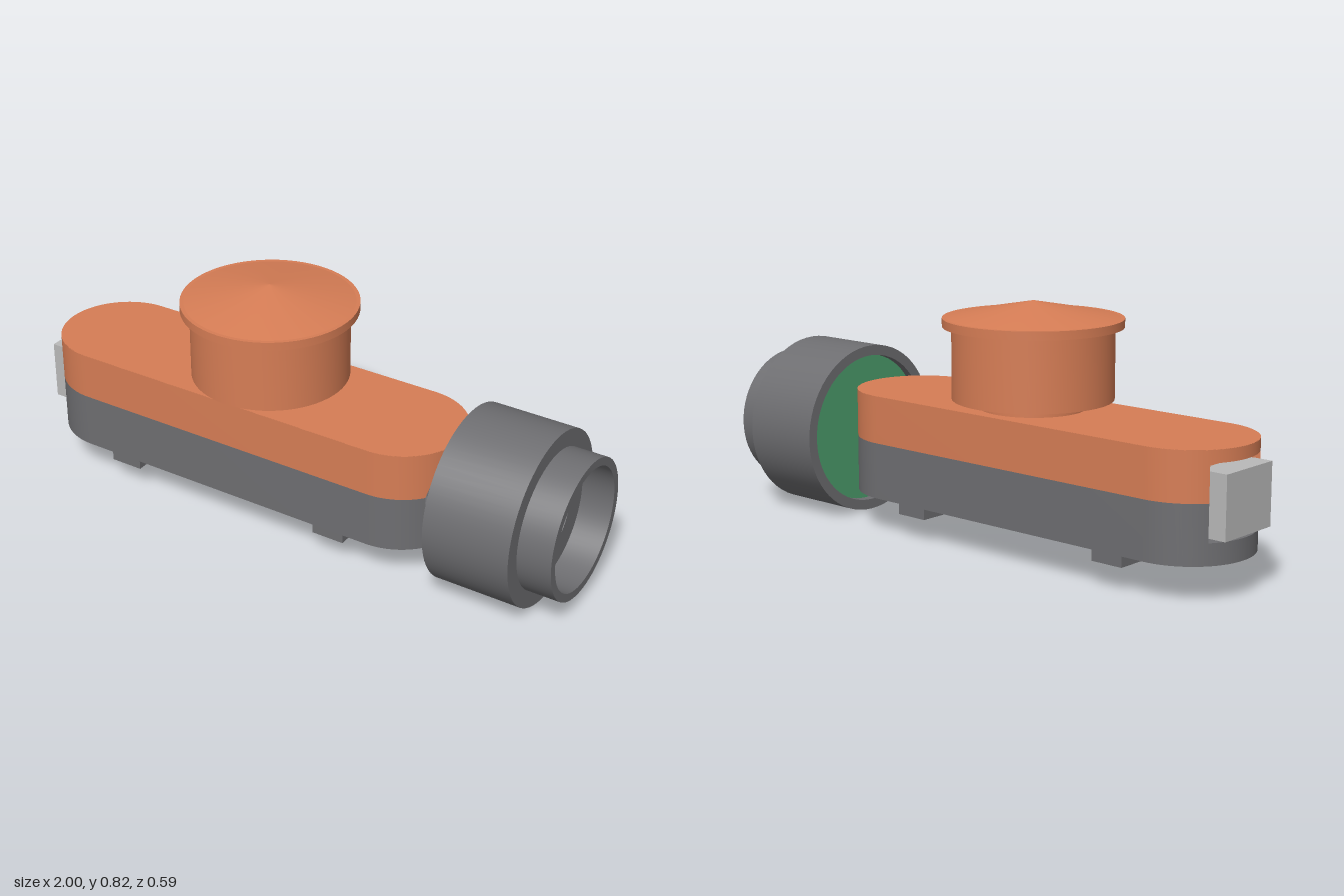
import * as THREE from 'three';
import { toCreasedNormals } from 'three/addons/utils/BufferGeometryUtils.js';

const material = (name, color) => Object.assign(new THREE.MeshStandardMaterial({ color }), { name });

const R = 0.217, X_LEFT = -0.775, X_RIGHT = 0.342;   // rounded body outline
const Y0 = 0.12, SPLIT = 0.31, Y1 = 0.47, WALL = 0.025;
const AXIS = 0.293, BORE = 0.135;                    // round opening at the +x end
const SLOT = { half: 0.13, low: 0.19, high: 0.43 };  // square opening at the -x end

export function createModel() {
  const orange = material('orange shell', 0xd67d55);
  const grey = material('dark grey plastic', 0x6e6e71);
  const light = material('light grey plastic', 0xb9b9b9);
  const green = material('green board', 0x4c9e6c);
  const model = new THREE.Group();

  const add = (name, geometry, mat, x = 0, y = 0, z = 0) => {
    const mesh = new THREE.Mesh(geometry, mat);
    mesh.name = name;
    mesh.position.set(x, y, z);
    model.add(mesh);
    return mesh;
  };
  const box = (name, mat, x0, x1, y0, y1, z, depth) =>
    add(name, new THREE.BoxGeometry(x1 - x0, y1 - y0, depth), mat, (x0 + x1) / 2, (y0 + y1) / 2, z);
  const lathe = (points) =>
    toCreasedNormals(new THREE.LatheGeometry(points.map(p => new THREE.Vector2(...p)), 64), 0.5);

  // Angles of one rounded end, doubled where an opening begins
  const endAngles = (half) => {
    const a = Math.asin(half / R), e = 1e-4, list = [-a - e, -a + e, a - e, a + e];
    for (let i = 0; i <= 48; i++) list.push(-Math.PI / 2 + Math.PI * i / 48);
    return list.sort((p, q) => p - q);
  };
  // Columns around the body, each with the opening it passes through
  const columns = [];
  for (const t of endAngles(BORE)) {
    const z = R * Math.sin(t), inside = Math.abs(z) < BORE;
    const h = inside ? Math.sqrt(BORE * BORE - z * z) : 0;
    columns.push({ cx: X_RIGHT, nx: Math.cos(t), nz: Math.sin(t), gap: inside && [AXIS - h, AXIS + h] });
  }
  for (const t of endAngles(SLOT.half)) {
    const inside = Math.abs(R * Math.sin(t)) < SLOT.half;
    columns.push({ cx: X_LEFT, nx: -Math.cos(t), nz: -Math.sin(t), gap: inside && [SLOT.low, SLOT.high] });
  }
  // Closed wall whose section is a thin upright rectangle at every column
  const wall = (bottom, top) => {
    const pos = [];
    const rings = columns.map(c => {
      const b = bottom(c), t = top(c);
      const p = (r, y) => [c.cx + c.nx * r, y, c.nz * r];
      return [p(R, b), p(R, t), p(R - WALL, t), p(R - WALL, b)];
    });
    rings.forEach((ring, i) => {
      const next = rings[(i + 1) % rings.length];
      for (let k = 0; k < 4; k++) {
        const m = (k + 1) % 4;
        pos.push(...ring[k], ...ring[m], ...next[m], ...ring[k], ...next[m], ...next[k]);
      }
    });
    const g = new THREE.BufferGeometry();
    g.setAttribute('position', new THREE.Float32BufferAttribute(pos, 3));
    return toCreasedNormals(g, 0.5);
  };
  add('lowerWall', wall(() => Y0, c => c.gap ? Math.min(SPLIT, c.gap[0]) : SPLIT), grey);
  add('upperWall', wall(c => c.gap ? Math.max(SPLIT, c.gap[1]) : SPLIT, () => Y1), orange);

  // Floor with three vent slots, and lid
  const outline = () => {
    const r = R - 0.001;
    return new THREE.Shape()
      .absarc(X_RIGHT, 0, r, -Math.PI / 2, Math.PI / 2, false)
      .absarc(X_LEFT, 0, r, Math.PI / 2, Math.PI * 1.5, false);
  };
  const plate = (shape) => toCreasedNormals(
    new THREE.ExtrudeGeometry(shape, { depth: 0.025, bevelEnabled: false, curveSegments: 48 }).rotateX(-Math.PI / 2), 0.5);
  const floor = outline();
  for (const i of [-1, 0, 1]) {
    const x = -0.22 + i * 0.27, w = 0.095, d = 0.01;
    floor.holes.push(new THREE.Path([[-w, -d], [-w, d], [w, d], [w, -d]]
      .map(([a, b]) => new THREE.Vector2(x + a, b))));
  }
  add('floor', plate(floor), grey, 0, Y0 - 0.0005, 0);
  add('lid', plate(outline()), orange, 0, Y1 - 0.0245, 0);

  // Feet
  for (const x of [-0.63, 0.193])
    for (const s of [-1, 1])
      box('foot', grey, x - 0.058, x + 0.058, 0.08, Y0 + 0.01, s * 0.147, 0.116);

  // Plug at the -x end and tongue at the +x end
  box('plug', light, -1, -0.9, 0.2, 0.403, 0, 0.235);
  box('tongue', grey, 0.3, 0.55, 0.277, 0.31, 0, 0.16);

  // Turret: neck, hollow drum open below, conical cap
  const TX = -0.16;
  add('turretNeck', new THREE.CylinderGeometry(0.175, 0.175, 0.28, 64), orange, TX, 0.6, 0);
  add('turretDrum', lathe([[0.243, 0.735], [0.243, 0.5], [0.263, 0.5], [0.263, 0.74]]), orange, TX, 0, 0);
  const cap = new THREE.LatheGeometry(
    [[0, 0.735], [0.293, 0.735], [0.293, 0.763], [0.28, 0.763], [0, 0.818]].map(p => new THREE.Vector2(...p)), 64);
  add('turretCap', toCreasedNormals(cap, 0.18), orange, TX, 0, 0);

  // Lens hood lying along x, open at both ends
  const alongX = (name, geometry, mat, x) => {
    add(name, geometry, mat, x, AXIS, 0).rotation.z = -Math.PI / 2;
  };
  alongX('lensHood', lathe([
    [0.258, 0.59], [0.293, 0.59], [0.293, 0.885], [0.235, 0.885], [0.235, 1], [0.207, 1],
    [0.207, 0.89], [0.118, 0.89], [0.118, 0.86], [0.258, 0.86], [0.258, 0.59],
  ]), grey, 0);
  alongX('sensorBoard', new THREE.CylinderGeometry(0.257, 0.257, 0.02, 64), green, 0.63);
  alongX('lensMount', new THREE.CylinderGeometry(0.125, 0.125, 0.215, 64), green, 0.7475);
  alongX('lens', new THREE.CylinderGeometry(0.109, 0.109, 0.008, 64), light, 0.859);

  return model;
}
